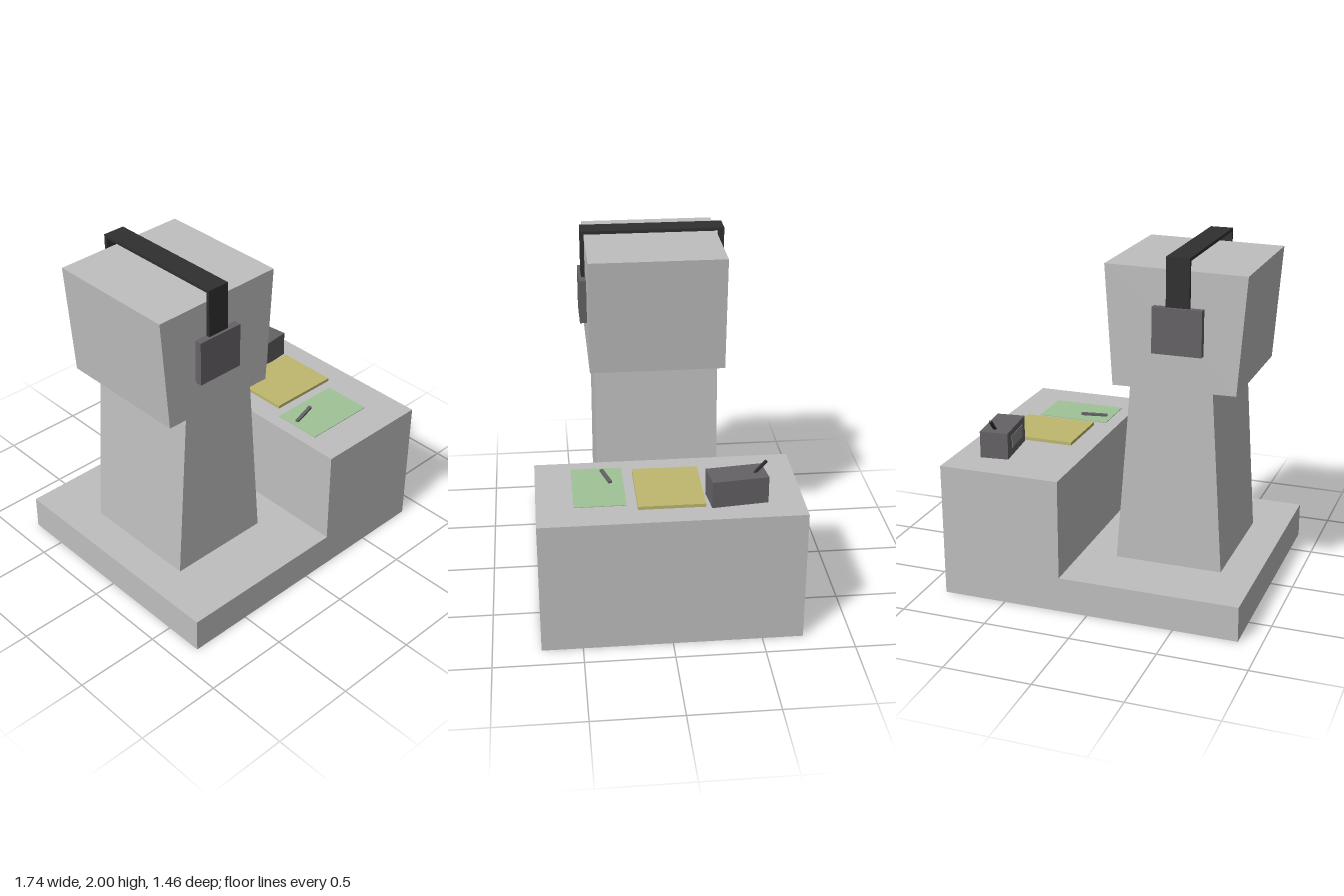
import * as THREE from 'three';

const mat = (name, color, extra = {}) => {
  const m = new THREE.MeshStandardMaterial({ color, ...extra });
  m.name = name;
  return m;
};

export function createModel() {
  const stone = mat('light grey', 0xbfbfbf);
  const dark = mat('dark grey', 0x666366);
  const black = mat('near black', 0x303030);
  const yellow = mat('dull yellow', 0xc0b870);
  const green = mat('pale green', 0xa0c498);
  const panel = mat('mid grey', 0x8c8a8c);

  const root = new THREE.Group();
  root.name = 'deskAndFigure';

  const add = (name, geometry, material, parent = root) => {
    const mesh = new THREE.Mesh(geometry, material);
    mesh.name = name;
    parent.add(mesh);
    return mesh;
  };

  // Side-on outline in x and y, pushed through from z0 to z1
  const slab = (name, points, z0, z1, material) => {
    const shape = new THREE.Shape(points.map(([x, y]) => new THREE.Vector2(x, y)));
    const g = new THREE.ExtrudeGeometry(shape, { depth: z1 - z0, bevelEnabled: false });
    return add(name, g.translate(0, 0, z0), material);
  };

  // Box given by its limits on each axis
  const box = (name, [x0, x1], [y0, y1], [z0, z1], material, parent) => {
    const mesh = add(name, new THREE.BoxGeometry(x1 - x0, y1 - y0, z1 - z0), material, parent);
    mesh.position.set((x0 + x1) / 2, (y0 + y1) / 2, (z0 + z1) / 2);
    return mesh;
  };

  // Floor slab and desk in one stepped block
  slab('baseAndDesk', [[-0.87, 0], [0.87, 0], [0.87, 0.782], [0.165, 0.782], [0.165, 0.204], [-0.87, 0.204]],
    -0.73, 0.73, stone);

  // Tapered torso and flared head
  slab('torso', [[-0.663, 0.204], [-0.042, 0.204], [-0.125, 1.262], [-0.595, 1.262]], -0.357, 0.36, stone);
  slab('head', [[-0.735, 1.265], [-0.034, 1.255], [0.01, 1.932], [-0.785, 1.922]], -0.392, 0.39, stone);

  // Headset: flat band over the head with a square pad on each side
  const headset = new THREE.Group();
  headset.name = 'headset';
  root.add(headset);
  const bandX = [-0.475, -0.344];
  box('headbandTop', bandX, [1.982, 2], [-0.415, 0.415], black, headset);
  for (const s of [-1, 1]) {
    const span = (a, b) => [s * a, s * b].sort((p, q) => p - q);
    box('headbandArm', bandX, [1.7, 1.982], span(0.394, 0.415), black, headset);
    box('earPad', [-0.55, -0.27], [1.47, 1.727], span(0.388, 0.431), dark, headset);
  }

  // Things lying on the desk
  box('greenSheet', [0.245, 0.677], [0.782, 0.786], [0.237, 0.525], green);
  box('notebook', [0.3, 0.73], [0.782, 0.801], [-0.19, 0.18], yellow);
  const pen = add('pen', new THREE.BoxGeometry(0.16, 0.014, 0.02), dark);
  pen.position.set(0.355, 0.794, 0.331);
  pen.rotation.set(0, 0.26, 0.04);

  // Radio box, turned slightly, with a side panel and a leaning aerial
  const radio = new THREE.Group();
  radio.name = 'radio';
  radio.position.set(0.65, 0.782, -0.368);
  radio.rotation.y = 0.11;
  root.add(radio);
  box('radioCase', [-0.082, 0.082], [0, 0.155], [-0.157, 0.157], dark, radio);
  box('radioPanel', [-0.085, -0.081], [0.045, 0.118], [-0.085, 0.105], panel, radio);
  const aerial = add('aerial', new THREE.BoxGeometry(0.014, 0.1, 0.014), black);
  aerial.position.set(0.65, 0.966, -0.492);
  aerial.rotation.x = -0.72;

  return root;
}
